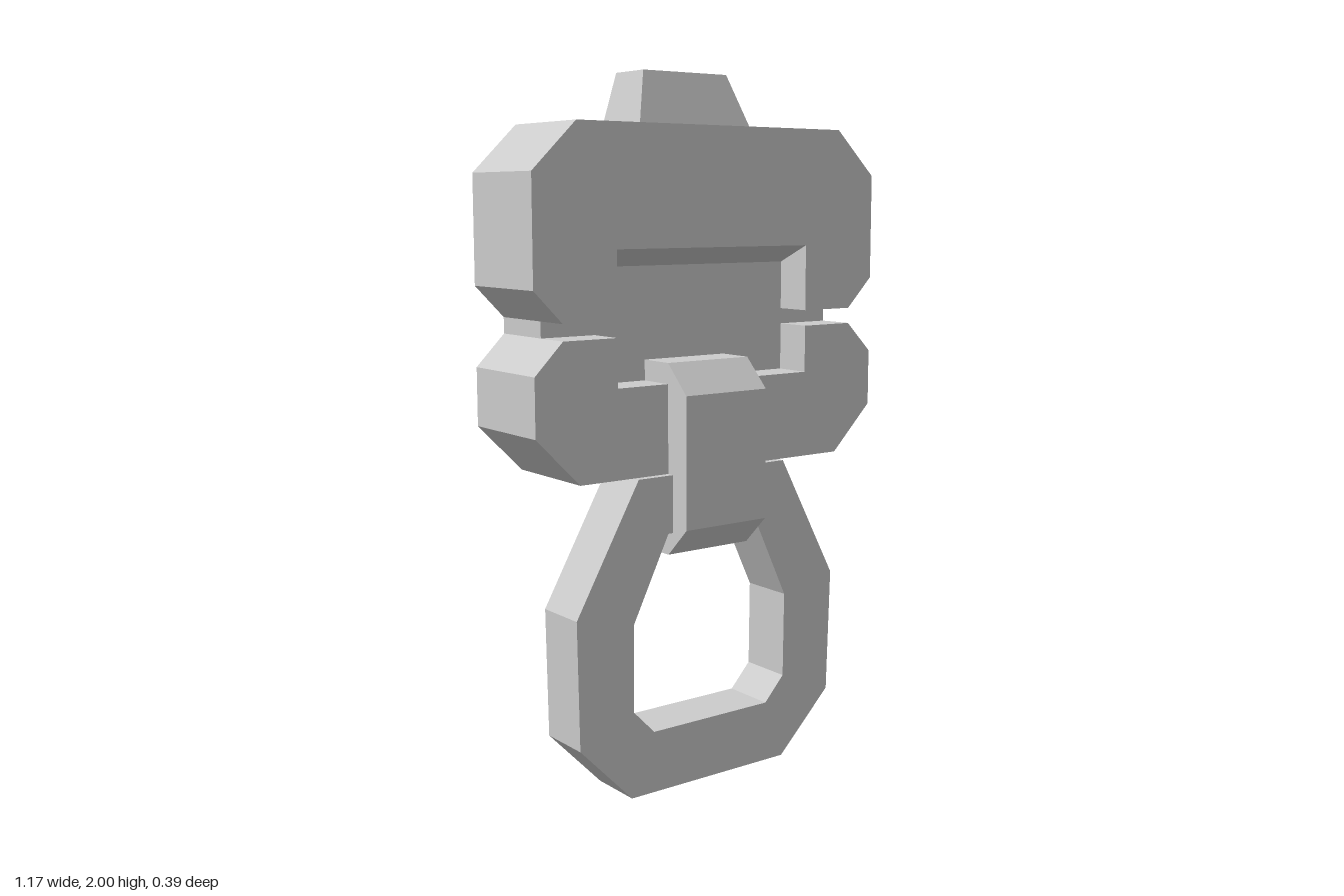
import * as THREE from 'three';

const grey = new THREE.MeshStandardMaterial({ color: 0xcccccc });
grey.name = 'plain grey';

const toVectors = (pts) => pts.map(([x, y]) => new THREE.Vector2(x, y));

// Right half of an outline, listed top to bottom, mirrored to the left
const mirrored = (half) => [...half, ...half.map(([x, y]) => [-x, y]).reverse()];

// Straight extrusion of an outline from z0 to z1; a hole runs opposite to its outline
function slab(outline, z0, z1, hole) {
  const shape = new THREE.Shape(toVectors(outline));
  if (hole) shape.holes.push(new THREE.Path(toVectors(hole)));
  const geometry = new THREE.ExtrudeGeometry(shape, { depth: z1 - z0, bevelEnabled: false });
  return geometry.translate(0, 0, z0);
}

// Move every vertex by a rule, then refresh the normals
function reshape(geometry, rule) {
  const flat = geometry.index ? geometry.toNonIndexed() : geometry;
  const pos = flat.attributes.position;
  const v = new THREE.Vector3();
  for (let i = 0; i < pos.count; i++) {
    rule(v.fromBufferAttribute(pos, i));
    pos.setXYZ(i, v.x, v.y, v.z);
  }
  flat.computeVertexNormals();
  return flat;
}

export function createModel() {
  const model = new THREE.Group();
  model.name = 'buckle';
  const add = (name, geometry) => {
    const mesh = new THREE.Mesh(geometry, grey);
    mesh.name = name;
    model.add(mesh);
  };

  // Body: a full back plate and two raised front halves around the recess
  const upper = [[0.452, 1.85], [0.587, 1.72], [0.587, 1.42], [0.5, 1.332]];
  const lower = [[0.5, 1.287], [0.587, 1.2], [0.587, 1.038], [0.452, 0.903]];
  add('backPlate', slab(mirrored([...upper, ...lower]), -0.193, 0));

  const upperFront = slab(mirrored([...upper, [0.33, 1.332], [0.33, 1.52]]), 0, 0.11);
  // The upper wall of the recess slopes down toward the back
  add('upperFront', reshape(upperFront, (v) => {
    if (Math.abs(v.y - 1.52) < 0.001 && v.z < 0.01) v.y = 1.47;
  }));
  add('lowerFront', slab(mirrored([[0.33, 1.152], [0.33, 1.287], ...lower]), 0, 0.11));

  // Tapered knob on top, upright at the back
  add('topKnob', reshape(new THREE.BoxGeometry(0.384, 0.15, 0.182).translate(0, 1.925, -0.07), (v) => {
    if (v.y > 1.9) {
      v.x *= 0.75;
      if (v.z > 0) v.z = -0.03;
    }
  }));

  // Clasp: side profile in (z, y), swept across x
  const profile = [[-0.13, 0.675], [0.11, 0.675], [0.193, 0.757], [0.193, 1.127], [0.11, 1.21], [-0.13, 1.21]];
  const clasp = slab(profile.map(([z, y]) => [-z, y]), 0, 0.278);
  add('clasp', clasp.rotateY(Math.PI / 2).translate(-0.165, 0, 0));

  // Hanging ring, leaning back slightly toward the bottom
  const ringOuter = [[-0.28, 0.903], [0.23, 0.903], [0.427, 0.541], [0.42, 0.175],
    [0.245, 0], [-0.3, 0], [-0.47, 0.175], [-0.48, 0.541]];
  const ringInner = [[-0.295, 0.5], [-0.295, 0.25], [-0.225, 0.178], [0.18, 0.178],
    [0.245, 0.25], [0.245, 0.5], [0.13, 0.74], [-0.18, 0.74]];
  add('ring', reshape(slab(ringOuter, -0.04, 0.12, ringInner), (v) => {
    v.z += 0.014 * v.y;
  }));

  return model;
}
